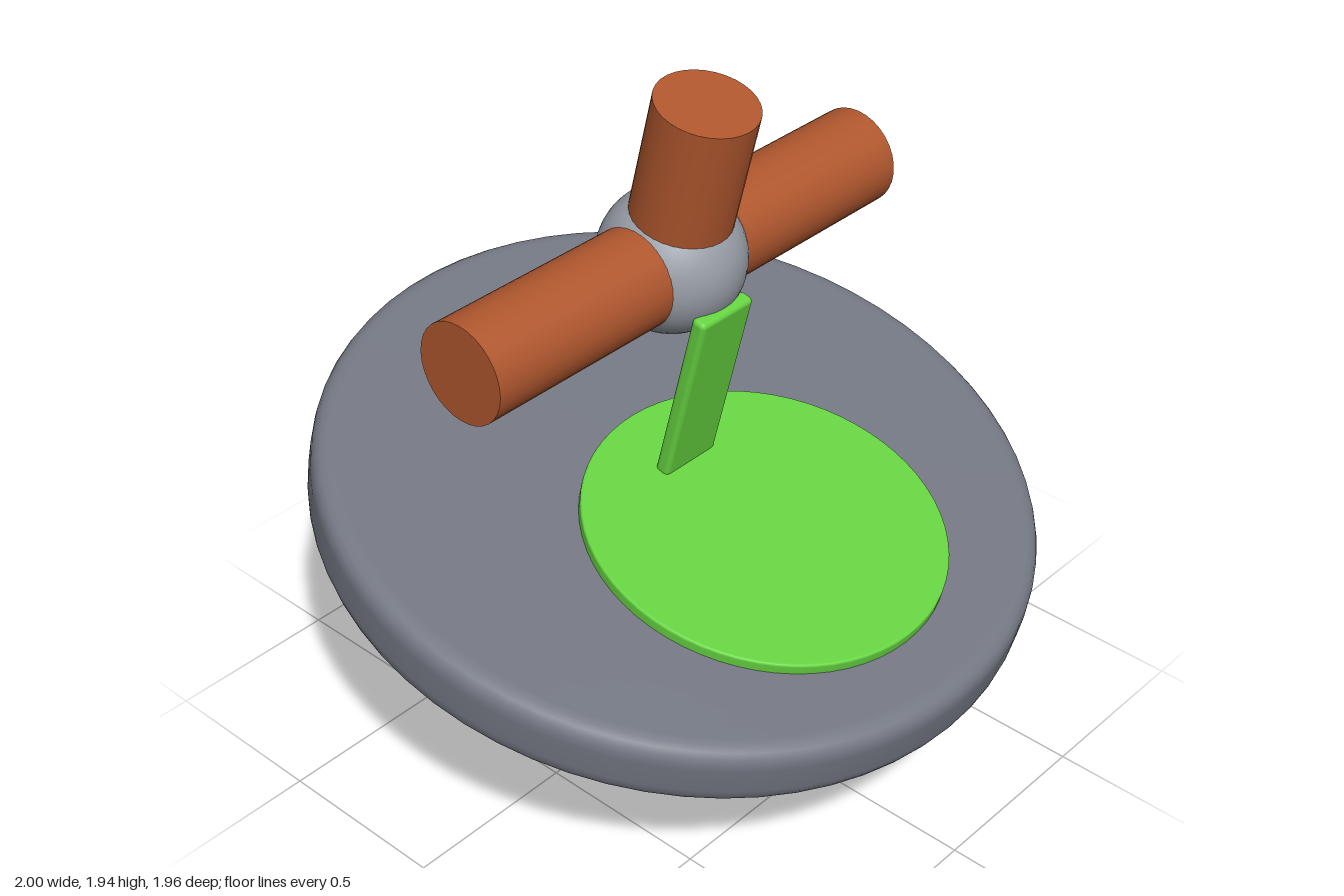
import * as THREE from 'three';
import { RoundedBoxGeometry } from 'three/addons/geometries/RoundedBoxGeometry.js';

const mat = (name, color) => {
  const m = new THREE.MeshStandardMaterial({ color });
  m.name = name;
  return m;
};

// Solid of revolution with rounded rims, from y0 (radius r0) up to y1 (radius r1)
function roundedFrustum(r0, r1, y0, y1, bevel, segments = 64) {
  const corners = [[0, y0], [r0, y0], [r1, y1], [0, y1]].map(p => new THREE.Vector2(...p));
  const points = [corners[0]];
  for (const i of [1, 2]) {
    const c = corners[i];
    const toward = (p) => c.clone().add(p.clone().sub(c).setLength(bevel));
    const curve = new THREE.QuadraticBezierCurve(toward(corners[i - 1]), c, toward(corners[i + 1]));
    points.push(...curve.getPoints(5));
  }
  points.push(corners[3]);
  return new THREE.LatheGeometry(points, segments);
}

export function createModel() {
  const deckGrey = mat('deck grey', 0x747883);
  const hullDark = mat('hull charcoal', 0x363740);
  const green = mat('bright green', 0x66d441);
  const rust = mat('rust orange', 0xb0572e);
  const steel = mat('light steel', 0x989da6);

  const model = new THREE.Group();
  model.name = 'tiltedSaucer';

  // Everything shares one axis, leaning toward the front
  const tilted = new THREE.Group();
  tilted.name = 'tiltedAssembly';
  tilted.position.set(0, 0.08, -0.16);
  tilted.rotation.x = THREE.MathUtils.degToRad(14);
  model.add(tilted);

  const add = (name, geometry, material, x = 0, y = 0, z = 0) => {
    const mesh = new THREE.Mesh(geometry, material);
    mesh.name = name;
    mesh.position.set(x, y, z);
    tilted.add(mesh);
    return mesh;
  };

  // Cone base and round deck
  add('coneBase', roundedFrustum(0.325, 0.96, 0, 0.56, 0.03), hullDark);
  add('deck', roundedFrustum(1, 1, 0.55, 0.745, 0.06), deckGrey);

  // Green round pad toward the front, with an upright slat at the centre
  add('pad', roundedFrustum(0.5, 0.5, 0.735, 0.776, 0.008), green, 0, 0, 0.3);
  add('slat', new RoundedBoxGeometry(0.196, 0.55, 0.045, 3, 0.015), green, 0, 1.04, 0);

  // Ball joint with two side tubes and one upright tube
  const hub = [1.35, -0.194];
  add('ballJoint', new THREE.SphereGeometry(0.2, 40, 28), steel, 0, ...hub);
  for (const [name, side] of [['leftTube', 1], ['rightTube', -1]]) {
    const tube = add(name, new THREE.CylinderGeometry(0.138, 0.138, 0.65, 32), rust, side * 0.425, ...hub);
    tube.rotation.z = -side * Math.PI / 2;
  }
  add('uprightTube', new THREE.CylinderGeometry(0.138, 0.138, 0.394, 32), rust, 0, hub[0] + 0.297, hub[1]);

  return model;
}
